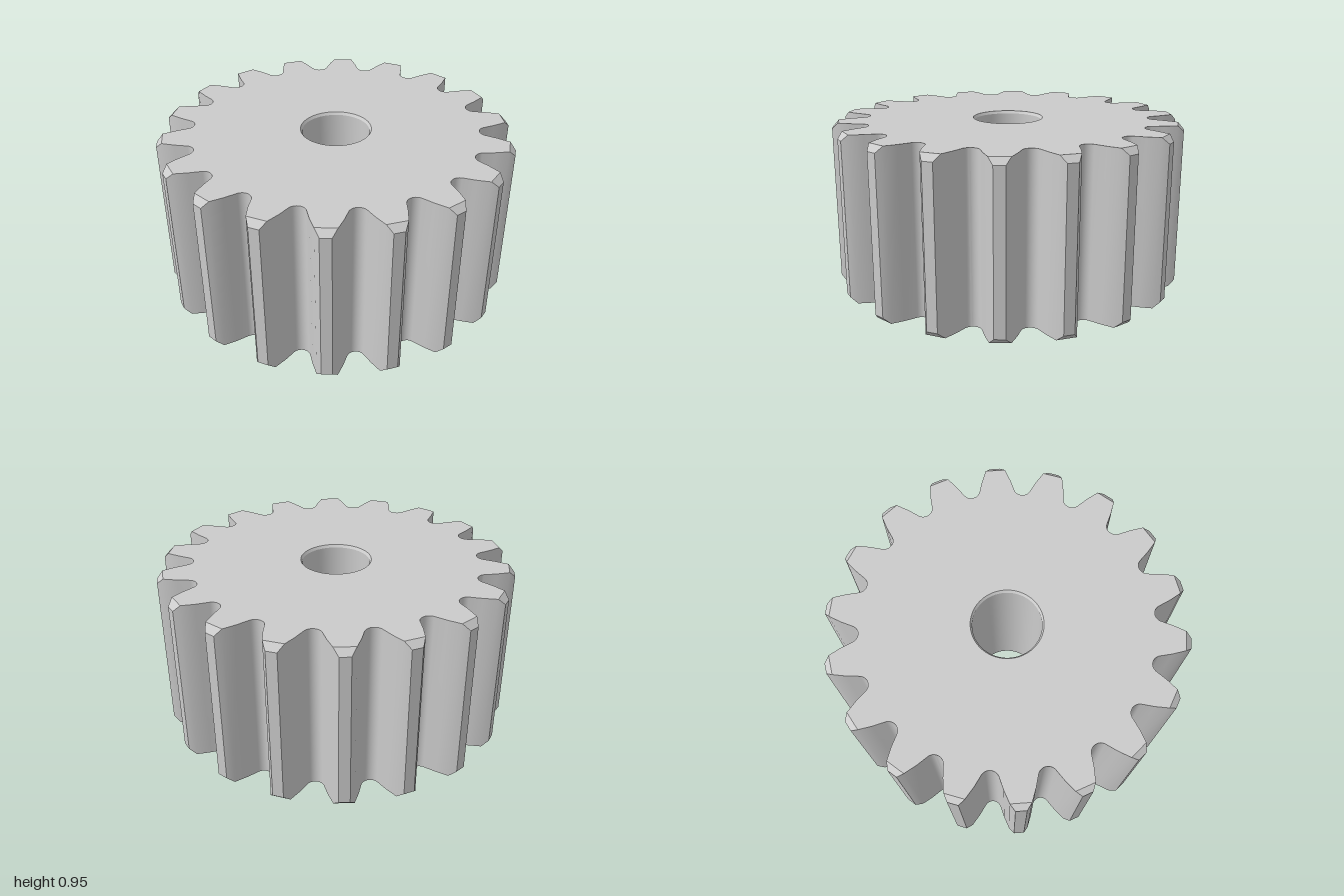
import * as THREE from 'three';
import { toCreasedNormals } from 'three/addons/utils/BufferGeometryUtils.js';

const TEETH = 18, HEIGHT = 0.95, BORE = 0.19, BORE_RIM = 0.2, BORE_BEVEL = 0.015;
const TIP_DROP = 0.035, CORNER_R = 0.965, TIP_R = 0.999;
const ROOT_CENTRE = 0.853, ROOT_RADIUS = 0.05, PHASE = -2 * Math.PI / 180;

// Outline of all teeth, counter-clockwise; each point has its end-face position and bevel depth
function gearOutline() {
  const outline = [], pitch = 2 * Math.PI / TEETH;
  const add = (angle, r, t, capR = r, drop = 0) => {
    const c = Math.cos(angle), s = Math.sin(angle);
    const at = (q) => new THREE.Vector2(q * c - t * s, q * s + t * c);
    outline.push({ side: at(r), cap: at(capR), drop });
  };
  for (let i = 0; i < TEETH; i++) {
    const a = PHASE + i * pitch;
    // tooth: convex flank, bevelled tip, convex flank
    add(a, 0.894, -0.082);
    add(a, CORNER_R, -0.056);
    add(a, TIP_R, -0.03, CORNER_R, TIP_DROP);
    add(a, TIP_R, 0.03, CORNER_R, TIP_DROP);
    add(a, CORNER_R, 0.056);
    add(a, 0.894, 0.082);
    // rounded root up to the next tooth
    for (let k = 0; k <= 10; k++) {
      const b = (k / 10 - 0.5) * 2 * Math.PI / 3;
      add(a + pitch / 2, ROOT_CENTRE - ROOT_RADIUS * Math.cos(b), ROOT_RADIUS * Math.sin(b));
    }
  }
  return outline;
}

// Toothed wall, with small sloped cuts at both ends of every tip
function wallGeometry(outline) {
  const pos = [];
  const rings = [
    (p) => [p.cap, 0],
    (p) => [p.side, p.drop],
    (p) => [p.side, HEIGHT - p.drop],
    (p) => [p.cap, HEIGHT],
  ].map((f) => outline.map((p) => {
    const [v, y] = f(p);
    return new THREE.Vector3(v.x, y, -v.y);
  }));
  const tri = (a, b, c) => {
    if (new THREE.Triangle(a, b, c).getArea() < 1e-8) return;
    for (const v of [a, b, c]) pos.push(v.x, v.y, v.z);
  };
  for (let k = 0; k < 3; k++) {
    outline.forEach((_, i) => {
      const j = (i + 1) % outline.length;
      const a = rings[k][i], b = rings[k][j], c = rings[k + 1][j], d = rings[k + 1][i];
      tri(a, b, c);
      tri(a, c, d);
    });
  }
  const g = new THREE.BufferGeometry();
  g.setAttribute('position', new THREE.Float32BufferAttribute(pos, 3));
  return toCreasedNormals(g, 0.4);
}

export function createModel() {
  const gear = new THREE.Group();
  gear.name = 'spurGear';
  const material = new THREE.MeshStandardMaterial({ color: 0xcccccc });
  const addMesh = (name, geometry) => {
    const mesh = new THREE.Mesh(geometry, material);
    mesh.name = name;
    gear.add(mesh);
    return mesh;
  };
  const outline = gearOutline();
  addMesh('toothedWall', wallGeometry(outline));

  // End faces with the bore hole
  const face = new THREE.Shape(outline.map((p) => p.cap));
  face.holes.push(new THREE.Path().absarc(0, 0, BORE_RIM, 0, Math.PI * 2, true));
  const top = new THREE.ShapeGeometry(face, 24).rotateX(-Math.PI / 2).translate(0, HEIGHT, 0);
  addMesh('topFace', top);
  const bottom = new THREE.ShapeGeometry(face, 24).rotateX(-Math.PI / 2);
  const index = bottom.index.array;
  for (let i = 0; i < index.length; i += 3) [index[i], index[i + 1]] = [index[i + 1], index[i]];
  bottom.computeVertexNormals();
  addMesh('bottomFace', bottom);

  // Bore with bevelled rims, facing inwards
  const profile = [
    [BORE_RIM, HEIGHT], [BORE, HEIGHT - BORE_BEVEL], [BORE, BORE_BEVEL], [BORE_RIM, 0],
  ].map(([x, y]) => new THREE.Vector2(x, y));
  addMesh('bore', toCreasedNormals(new THREE.LatheGeometry(profile, 48), 0.4));
  return gear;
}
